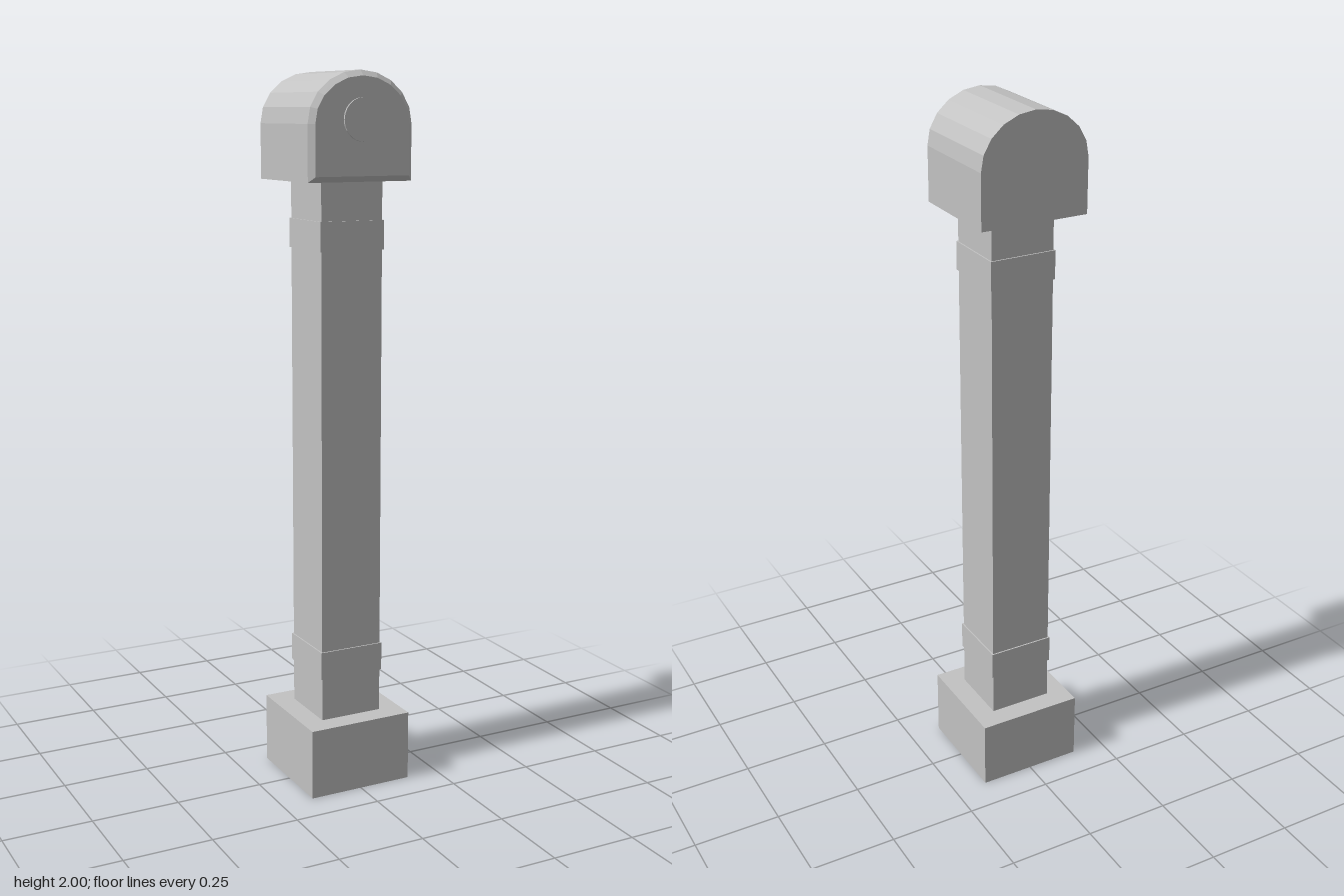
import * as THREE from 'three';

const stone = new THREE.MeshStandardMaterial({ color: 0xc2c2c2, flatShading: true });
stone.name = 'grey stone';

const CENTRE_Z = -0.003;

// Box given by its half width and its lower and upper heights
function block(name, half, y0, y1) {
  const mesh = new THREE.Mesh(new THREE.BoxGeometry(half * 2, y1 - y0, half * 2), stone);
  mesh.position.set(0, (y0 + y1) / 2, CENTRE_Z);
  mesh.name = name;
  return mesh;
}

// Arched outline, counter-clockwise from the front, shrunk by inset
function archRing(z, inset) {
  const rx = 0.154 - inset, ry = 0.138 - inset, spring = 1.862, bottom = 1.712 + inset;
  const ring = [new THREE.Vector3(rx, bottom, z)];
  for (let i = 0; i <= 10; i++) {
    const a = (i / 10) * Math.PI;
    ring.push(new THREE.Vector3(rx * Math.cos(a), spring + ry * Math.sin(a), z));
  }
  ring.push(new THREE.Vector3(-rx, bottom, z));
  return ring;
}

// Arched head: straight body with a bevel around its front face
function headGeometry() {
  const rings = [archRing(-0.157, 0), archRing(0.135, 0), archRing(0.15, 0.015)];
  const n = rings[0].length;
  const points = [];
  for (let r = 0; r < rings.length - 1; r++) {
    for (let i = 0; i < n; i++) {
      const j = (i + 1) % n;
      const a = rings[r][i], b = rings[r][j], c = rings[r + 1][j], d = rings[r + 1][i];
      points.push(a, b, c, a, c, d);
    }
  }
  const back = rings[0], front = rings[rings.length - 1];
  for (let i = 1; i < n - 1; i++) {
    points.push(front[0], front[i], front[i + 1]);
    points.push(back[0], back[i + 1], back[i]);
  }
  const geometry = new THREE.BufferGeometry().setFromPoints(points);
  geometry.computeVertexNormals();
  return geometry;
}

export function createModel() {
  const group = new THREE.Group();
  group.name = 'pillar';

  group.add(block('base', 0.154, 0, 0.2));
  group.add(block('shaft', 0.092, 0.2, 1.712));
  // Slightly raised bands near both ends of the shaft
  group.add(block('lowerBand', 0.096, 0.323, 0.403));
  group.add(block('upperBand', 0.096, 1.527, 1.607));

  const head = new THREE.Mesh(headGeometry(), stone);
  head.name = 'archedHead';
  group.add(head);

  // Thin round disc on the front of the head
  const disc = new THREE.Mesh(new THREE.CylinderGeometry(0.057, 0.057, 0.007, 24), stone);
  disc.rotation.x = Math.PI / 2;
  disc.position.set(0, 1.873, 0.152);
  disc.name = 'frontDisc';
  group.add(disc);

  return group;
}
